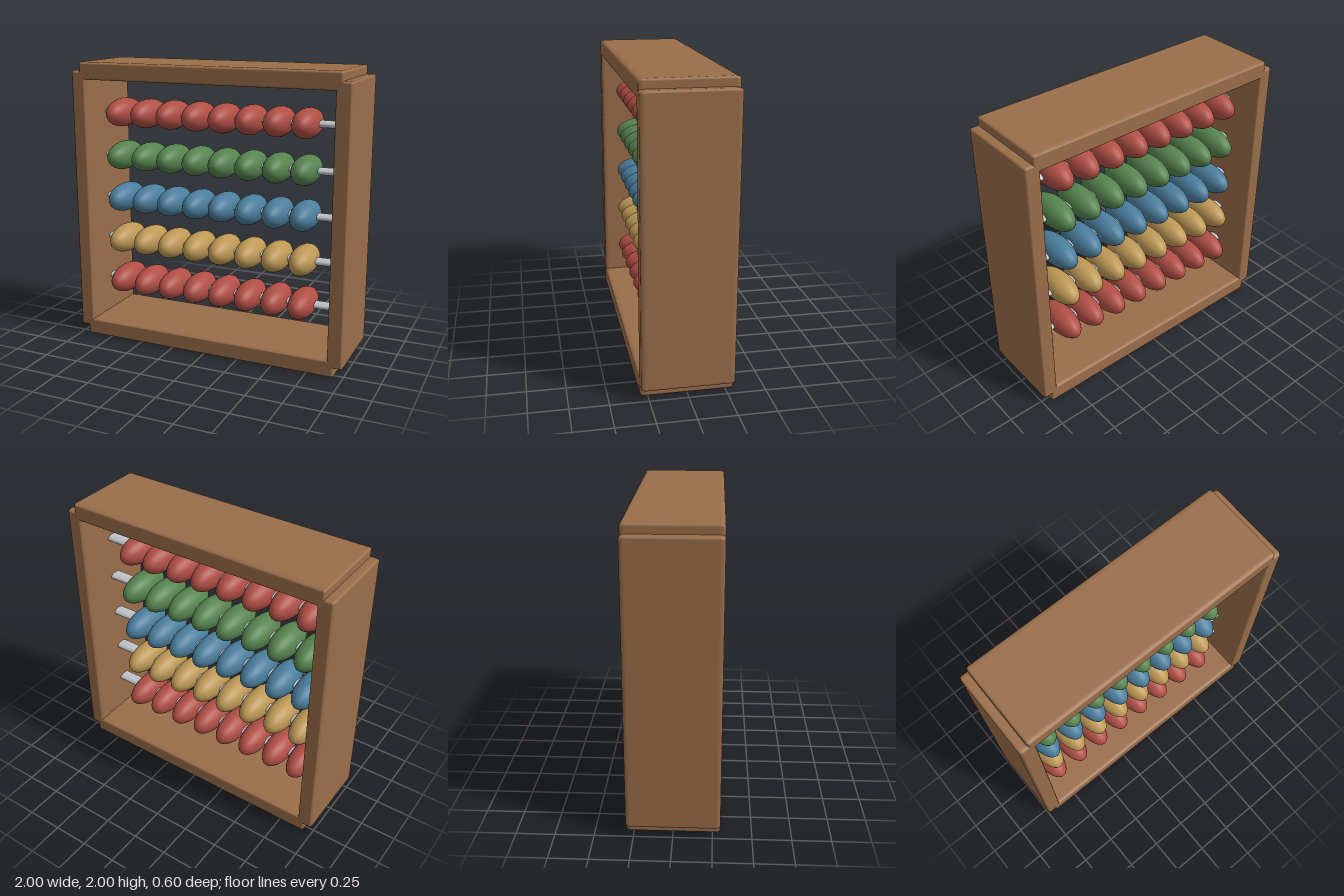
import * as THREE from 'three';
import { RoundedBoxGeometry } from 'three/addons/geometries/RoundedBoxGeometry.js';

function material(name, color) {
  const m = new THREE.MeshStandardMaterial({ color });
  m.name = name;
  return m;
}

export function createModel() {
  const model = new THREE.Group();
  model.name = 'abacus';

  const wood = material('wood', 0x9a6e4a);
  const steel = material('steel', 0xc0c4c8);
  const red = material('red', 0xb04e45);
  const green = material('green', 0x56834f);
  const blue = material('blue', 0x4a7d9c);
  const yellow = material('yellow', 0xbd9855);

  const add = (name, geometry, mat, x, y, parent = model) => {
    const mesh = new THREE.Mesh(geometry, mat);
    mesh.name = name;
    mesh.position.set(x, y, 0);
    parent.add(mesh);
    return mesh;
  };

  // Frame boards, softly rounded; the depth is stretched to twice the rounding
  const board = (w, h) => new RoundedBoxGeometry(w, h, 0.3, 3, 0.016).scale(1, 1, 2);
  const post = board(0.11, 1.875);
  add('leftPost', post, wood, 0.945, 1.0025);
  add('rightPost', post, wood, -0.945, 1.0025);
  const rail = board(1.88, 0.122);
  add('topRail', rail, wood, 0, 1.939);
  add('bottomRail', rail, wood, 0, 0.061);

  // Rods with eight oval beads each, pushed toward the right post
  const rodGeometry = new THREE.CylinderGeometry(0.024, 0.024, 1.86, 24)
    .rotateZ(Math.PI / 2).scale(1, 1, 2);
  const beadGeometry = new THREE.SphereGeometry(1, 32, 24)
    .rotateZ(Math.PI / 2).scale(0.0925, 0.102, 0.205);

  [red, yellow, blue, green, red].forEach((color, r) => {
    const row = new THREE.Group();
    row.name = `beadRow${r + 1}`;
    row.position.y = 0.38 + r * 0.3125;
    model.add(row);
    add('rod', rodGeometry, steel, 0, 0, row);
    for (let i = 0; i < 8; i++) {
      add('bead', beadGeometry, color, -0.757 + i * 0.198, 0, row);
    }
  });

  return model;
}
